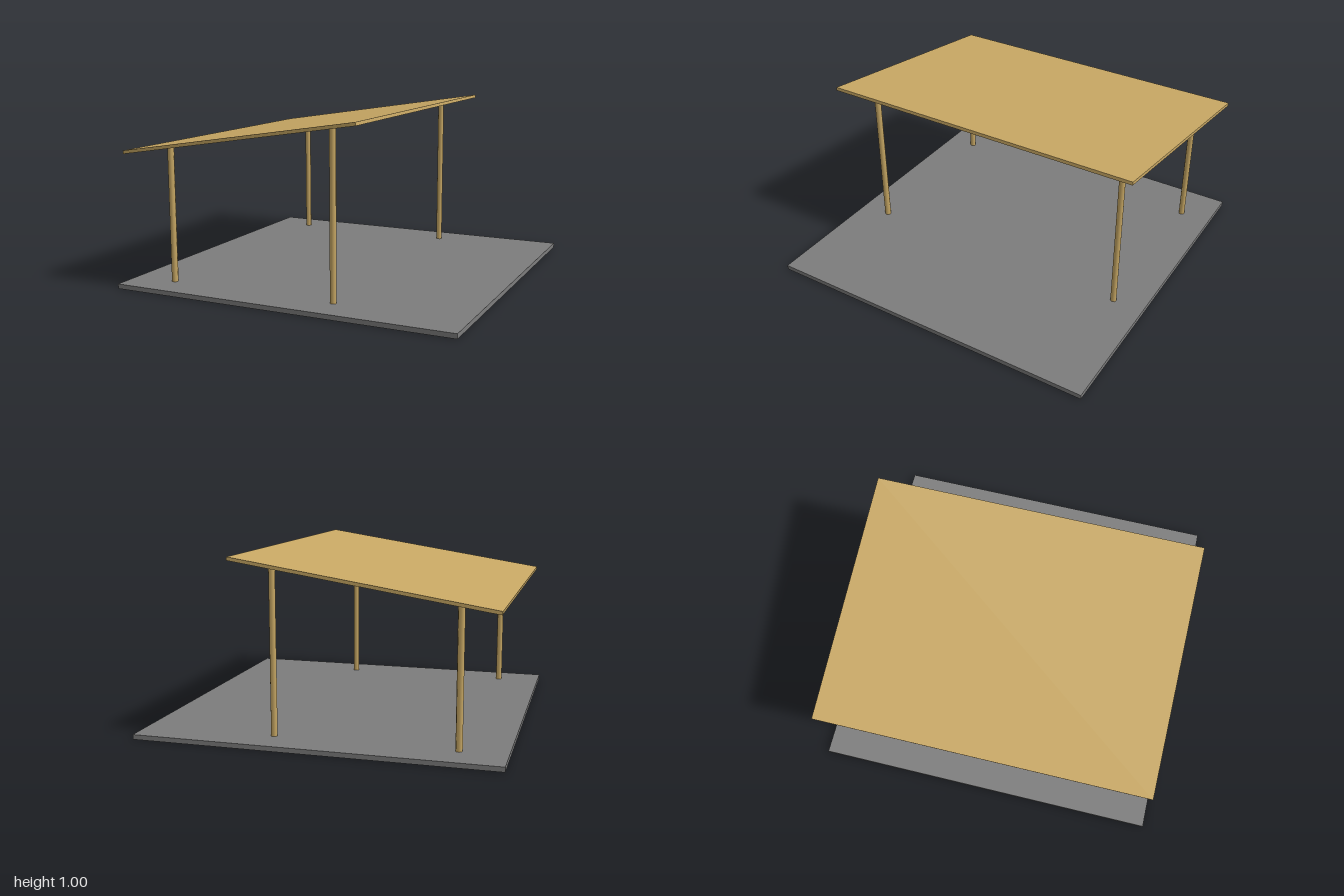
import * as THREE from 'three';

export function createModel() {
  const group = new THREE.Group();
  const wood = new THREE.MeshStandardMaterial({ color: 0xc8a864 });
  wood.name = 'wood';
  const concrete = new THREE.MeshStandardMaterial({ color: 0x7d7d7d });
  concrete.name = 'concrete';

  const add = (name, geometry, material, x, y, z) => {
    const mesh = new THREE.Mesh(geometry, material);
    mesh.name = name;
    mesh.position.set(x, y, z);
    group.add(mesh);
    return mesh;
  };

  // Ground slab
  const slabHeight = 0.027;
  add('slab', new THREE.BoxGeometry(2, slabHeight, 2), concrete, 0, slabHeight / 2, 0);

  // Sloping flat roof, rising towards +x
  const slope = Math.atan2(0.22, 1.41);
  const roof = add('roof', new THREE.BoxGeometry(1.427, 0.019, 1.91), wood, -0.257, 0.88, 0);
  roof.rotation.z = slope;

  // Four posts, passing through the slab and into the roof
  const postBase = -0.0005;
  for (const x of [-0.744, 0.256]) {
    const top = 0.878 + (x + 0.257) * Math.tan(slope);
    const height = top - postBase;
    for (const z of [-0.815, 0.815]) {
      const side = x < 0 ? 'right' : 'left';
      const end = z > 0 ? 'Front' : 'Back';
      add(`${side}${end}Post`, new THREE.CylinderGeometry(0.0187, 0.0187, height, 8),
        wood, x, postBase + height / 2, z);
    }
  }
  return group;
}
